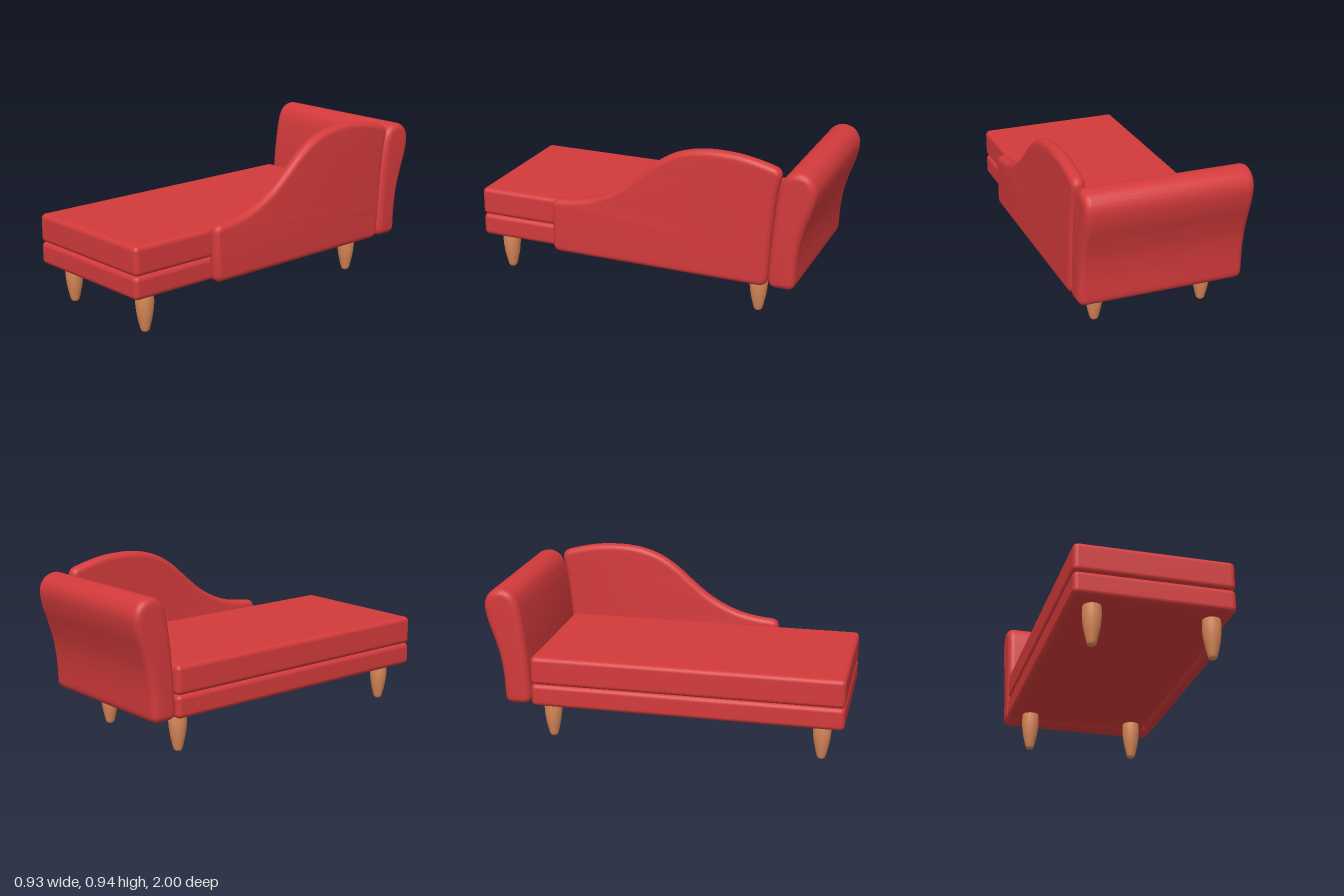
import * as THREE from 'three';
import { toCreasedNormals } from 'three/addons/utils/BufferGeometryUtils.js';
import { RoundedBoxGeometry } from 'three/addons/geometries/RoundedBoxGeometry.js';

const fabric = new THREE.MeshStandardMaterial({ color: 0xd33a3b });
fabric.name = 'redFabric';
const wood = new THREE.MeshStandardMaterial({ color: 0xda8858 });
wood.name = 'legWood';

const vecs = (pairs) => pairs.map(([a, b]) => new THREE.Vector2(a, b));

// Soft padded slab between two corners
function pad(name, min, max, radius) {
  const size = max.map((v, i) => v - min[i]);
  const mesh = new THREE.Mesh(new RoundedBoxGeometry(...size, 5, radius), fabric);
  mesh.position.set(...max.map((v, i) => (v + min[i]) / 2));
  mesh.name = name;
  return mesh;
}

// Side profile (x = towards the back, y = up) extruded across the width with rounded rims
function upholstered(name, shape, x0, x1, bevel) {
  const geometry = new THREE.ExtrudeGeometry(shape, {
    depth: x1 - x0 - 2 * bevel,
    bevelThickness: bevel,
    bevelSize: bevel,
    bevelOffset: -bevel,
    bevelSegments: 9,
    curveSegments: 6,
  });
  geometry.rotateY(Math.PI / 2);
  geometry.translate(x0 + bevel, 0, 0);
  const mesh = new THREE.Mesh(toCreasedNormals(geometry, 0.6), fabric);
  mesh.name = name;
  return mesh;
}

// Low at the front, sweeping up in an S curve to the back
function sidePanelShape() {
  const s = new THREE.Shape();
  s.moveTo(-0.47, 0.217);
  s.quadraticCurveTo(-0.517, 0.217, -0.517, 0.264);
  s.lineTo(-0.517, 0.485);
  s.quadraticCurveTo(-0.517, 0.53, -0.47, 0.533);
  s.splineThru(vecs([
    [-0.4, 0.54], [-0.3, 0.56], [-0.2, 0.598], [-0.1, 0.655], [0, 0.735], [0.1, 0.822],
    [0.2, 0.886], [0.3, 0.922], [0.4, 0.938], [0.5, 0.94], [0.6, 0.932], [0.7, 0.912], [0.765, 0.895],
  ]));
  s.quadraticCurveTo(0.818, 0.881, 0.806, 0.83);
  s.splineThru(vecs([[0.782, 0.7], [0.762, 0.5], [0.747, 0.264]]));
  s.quadraticCurveTo(0.745, 0.217, 0.7, 0.217);
  s.closePath();
  return s;
}

// Leaning back with a rolled top
function backrestShape() {
  const s = new THREE.Shape();
  s.moveTo(0.8, 0.217);
  s.quadraticCurveTo(0.75, 0.217, 0.75, 0.265);
  s.splineThru(vecs([
    [0.757, 0.4], [0.773, 0.6], [0.797, 0.76], [0.822, 0.835], [0.86, 0.87], [0.908, 0.88],
    [0.958, 0.863], [0.99, 0.823], [0.999, 0.77], [0.984, 0.69], [0.95, 0.59],
    [0.922, 0.49], [0.906, 0.38], [0.9, 0.265],
  ]));
  s.quadraticCurveTo(0.9, 0.217, 0.855, 0.217);
  s.closePath();
  return s;
}

export function createModel() {
  const model = new THREE.Group();
  model.name = 'chaiseLounge';

  // Base and seat cushion
  model.add(pad('base', [-0.465, 0.215, -0.745], [0.387, 0.343, 1], 0.027));
  model.add(pad('seatCushion', [-0.465, 0.341, -0.745], [0.387, 0.502, 1], 0.027));

  // Curved side and end backrest
  model.add(upholstered('sidePanel', sidePanelShape(), 0.387, 0.462, 0.033));
  model.add(upholstered('backrest', backrestShape(), -0.465, 0.462, 0.04));

  // Four tapered legs
  const profile = new THREE.SplineCurve(vecs([
    [0.019, 0.003], [0.025, 0.014], [0.035, 0.055], [0.044, 0.1], [0.05, 0.16], [0.048, 0.23],
  ])).getPoints(18);
  const legGeometry = new THREE.LatheGeometry(
    [new THREE.Vector2(0, 0), new THREE.Vector2(0.016, 0), ...profile, new THREE.Vector2(0, 0.23)], 28);
  for (const x of [-0.338, 0.291]) {
    for (const z of [0.872, -0.655]) {
      const leg = new THREE.Mesh(legGeometry, wood);
      leg.position.set(x, 0, z);
      leg.name = `${z > 0 ? 'front' : 'back'}${x > 0 ? 'Left' : 'Right'}Leg`;
      model.add(leg);
    }
  }
  return model;
}
